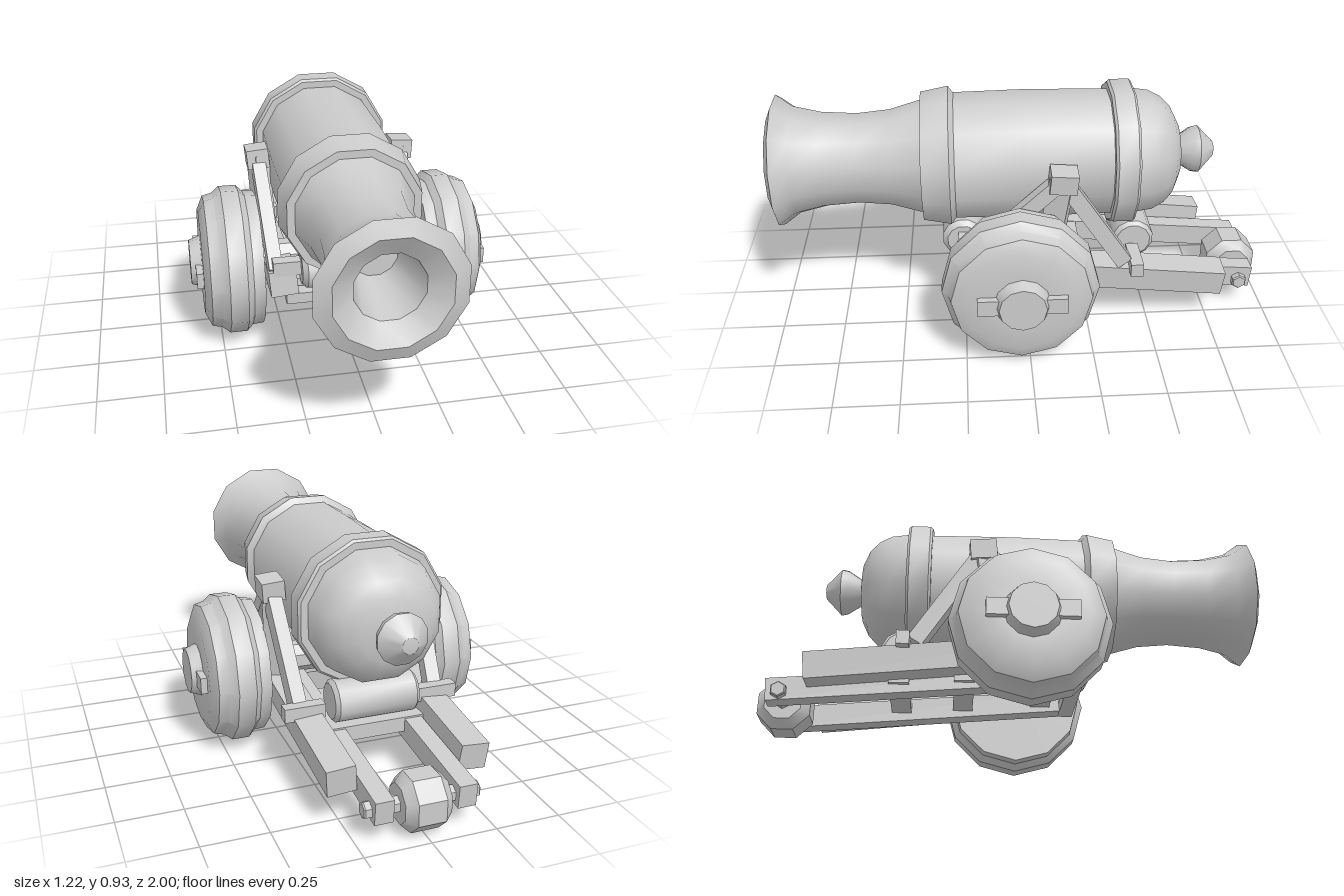
import * as THREE from 'three';
import { toCreasedNormals } from 'three/addons/utils/BufferGeometryUtils.js';

const material = new THREE.MeshStandardMaterial({ color: 0xcccccc });

function addMesh(parent, name, geometry) {
  const mesh = new THREE.Mesh(geometry, material);
  mesh.name = name;
  parent.add(mesh);
  return mesh;
}

// Lathe from [radius, height] pairs, with crisp profile edges
function lathe(points, sides, phase = 0) {
  const profile = points.map(([r, h]) => new THREE.Vector2(r, h));
  return toCreasedNormals(new THREE.LatheGeometry(profile, sides, phase), 0.62);
}

function box(parent, name, size, position) {
  const mesh = addMesh(parent, name, new THREE.BoxGeometry(...size));
  mesh.position.set(...position);
  return mesh;
}

// Timber running between two points
function beam(parent, name, from, to, width, height, roll = 0) {
  const a = new THREE.Vector3(...from), b = new THREE.Vector3(...to);
  const mesh = addMesh(parent, name, new THREE.BoxGeometry(width, height, a.distanceTo(b)));
  mesh.position.copy(a).add(b).multiplyScalar(0.5);
  mesh.lookAt(b);
  mesh.rotateZ(roll);
  return mesh;
}

// Rod along x with bevelled ends
function roller(parent, name, radius, halfLength, bevel, sides, y, z) {
  const geometry = lathe([
    [0, -halfLength], [radius - bevel, -halfLength], [radius, -halfLength + bevel],
    [radius, halfLength - bevel], [radius - bevel, halfLength], [0, halfLength],
  ], sides, Math.PI / sides).rotateZ(-Math.PI / 2);
  addMesh(parent, name, geometry).position.set(0, y, z);
}

export function createModel() {
  const model = new THREE.Group();
  model.name = 'cannon';

  // Barrel: knob, rounded breech, bands, flared muzzle and bore, by flat-to-axis distance
  const flat = 1 / Math.cos(Math.PI / 12);
  const barrelProfile = [
    [0, -0.785], [0.03, -0.78], [0.095, -0.715], [0.09, -0.69], [0.055, -0.635],
    [0.12, -0.627], [0.175, -0.6], [0.215, -0.56], [0.24, -0.51], [0.25, -0.44],
    [0.277, -0.44], [0.286, -0.43], [0.286, -0.352], [0.277, -0.342], [0.25, -0.342],
    [0.255, 0], [0.25, 0.275], [0.262, 0.285], [0.275, 0.295], [0.255, 0.405], [0.225, 0.405],
    [0.19, 0.53], [0.178, 0.66], [0.187, 0.8], [0.212, 0.91], [0.258, 0.975],
    [0.2, 1.0], [0.122, 0.95], [0.082, 0.72], [0, 0.72],
  ].map(([r, z]) => [r * flat, z]);
  addMesh(model, 'barrel', lathe(barrelProfile, 12, Math.PI / 12).rotateX(Math.PI / 2))
    .position.y = 0.64;

  // Wheels with hubs and linchpins
  const wheelProfile = [
    [0, 0.33], [0.275, 0.33], [0.278, 0.375], [0.303, 0.4], [0.303, 0.47], [0.278, 0.5],
    [0.268, 0.54], [0.215, 0.565], [0.107, 0.565], [0.09, 0.61], [0, 0.61],
  ];
  for (const s of [1, -1]) {
    const wheel = new THREE.Group();
    wheel.name = s > 0 ? 'leftWheel' : 'rightWheel';
    wheel.position.set(0, 0.303, 0.035);
    wheel.rotation.y = s > 0 ? 0 : Math.PI;
    addMesh(wheel, 'wheelDisc', lathe(wheelProfile, 12).rotateZ(-Math.PI / 2));
    box(wheel, 'linchpin', [0.03, 0.066, 0.34], [0.576, 0, 0]);
    model.add(wheel);
  }
  roller(model, 'mainAxle', 0.065, 0.36, 0.01, 8, 0.303, 0.035);

  // Carriage sides
  for (const s of [1, -1]) {
    const side = new THREE.Group();
    side.name = s > 0 ? 'leftSide' : 'rightSide';
    model.add(side);
    beam(side, 'outerRail', [s * 0.255, 0.18, -0.8], [s * 0.255, 0.295, 0.27], 0.11, 0.105, s * -0.08);
    beam(side, 'innerRail', [s * 0.157, 0.122, -0.95], [s * 0.157, 0.225, 0.2], 0.07, 0.09);
    beam(side, 'post', [s * 0.278, 0.3, -0.08], [s * 0.3, 0.69, -0.135], 0.06, 0.09);
    beam(side, 'frontBrace', [s * 0.282, 0.33, 0.23], [s * 0.3, 0.65, -0.1], 0.055, 0.06);
    beam(side, 'rearBrace', [s * 0.28, 0.29, -0.39], [s * 0.3, 0.64, -0.16], 0.055, 0.065);
    const cap = box(side, 'postCap', [0.09, 0.08, 0.105], [s * 0.302, 0.68, -0.137]);
    cap.rotation.set(-0.08, 0, s * -0.08);
    box(side, 'rearBracket', [0.16, 0.055, 0.05], [s * 0.27, 0.283, -0.435]);
    box(side, 'frontBracket', [0.13, 0.06, 0.05], [s * 0.23, 0.358, 0.245]);
  }

  // Rollers under the barrel and beams across the frame
  roller(model, 'frontRoller', 0.085, 0.185, 0.02, 12, 0.35, 0.25);
  roller(model, 'rearRoller', 0.085, 0.17, 0.015, 12, 0.312, -0.445);
  box(model, 'frontCrossbar', [0.49, 0.045, 0.06], [0, 0.222, 0.24]);
  for (const [y, z] of [[0.225, 0.12], [0.2, -0.2], [0.185, -0.45]]) {
    box(model, 'crossBeam', [0.42, 0.06, 0.08], [0, y, z]);
  }

  // Tail wheel
  roller(model, 'tailWheel', 0.11, 0.088, 0.035, 8, 0.115, -0.898);
  roller(model, 'tailAxle', 0.032, 0.22, 0.005, 6, 0.115, -0.898);
  return model;
}
